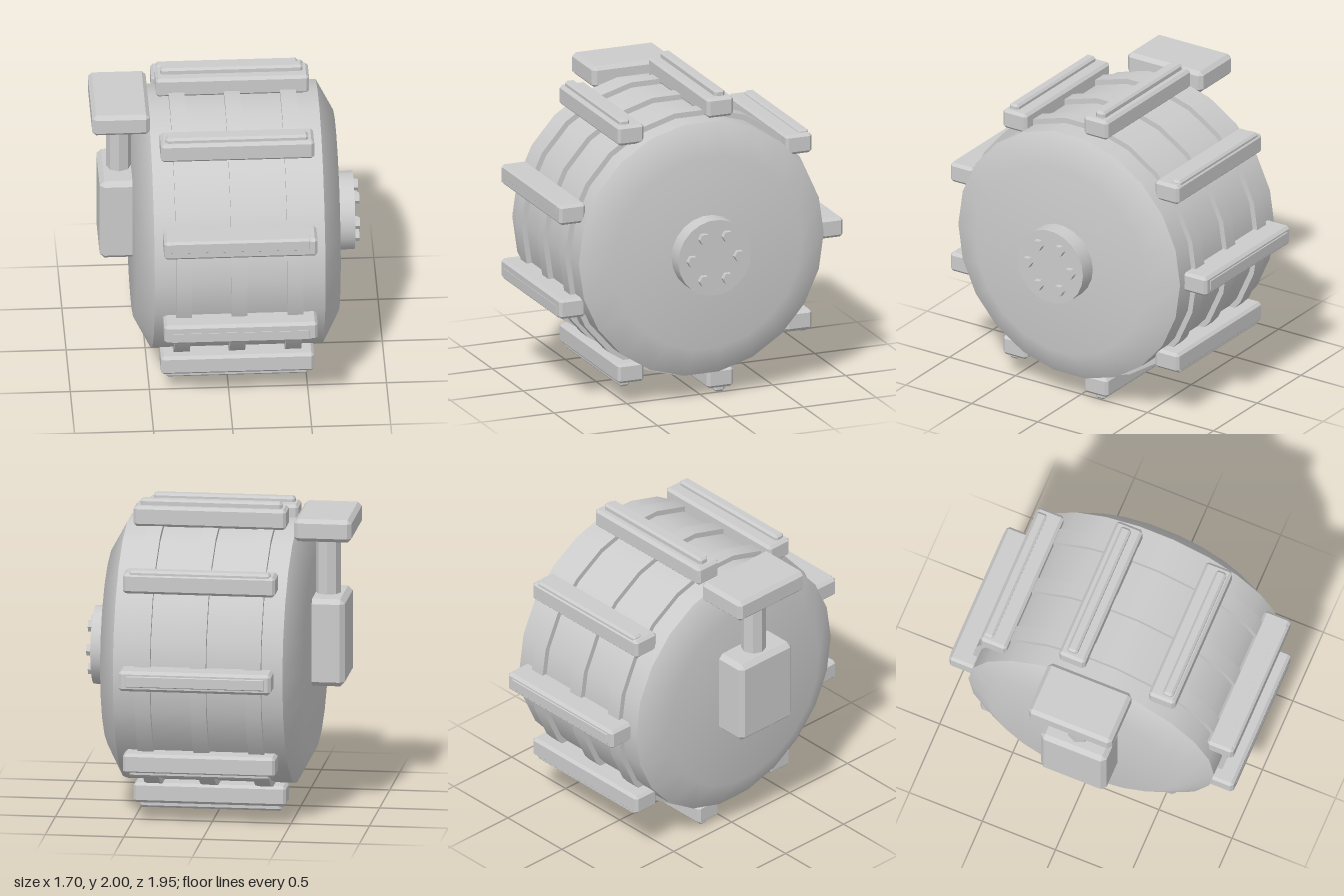
import * as THREE from 'three';
import { ConvexGeometry } from 'three/addons/geometries/ConvexGeometry.js';

const smooth = new THREE.MeshStandardMaterial({ color: 0xcccccc });
const flat = new THREE.MeshStandardMaterial({ color: 0xcccccc, flatShading: true });
const SIDES = 22;
const CY = 1, CZ = 0.03; // axle position

// Box with chamfered edges, as the hull of 24 points
function chamferBox(w, h, d, c) {
  const pts = [];
  for (const sx of [-1, 1]) for (const sy of [-1, 1]) for (const sz of [-1, 1]) {
    const x = w / 2, y = h / 2, z = d / 2;
    pts.push(
      new THREE.Vector3(sx * x, sy * (y - c), sz * (z - c)),
      new THREE.Vector3(sx * (x - c), sy * y, sz * (z - c)),
      new THREE.Vector3(sx * (x - c), sy * (y - c), sz * z));
  }
  return new ConvexGeometry(pts);
}

export function createModel() {
  const root = new THREE.Group();
  root.name = 'treadedWheel';

  function add(name, geometry, material, x, y, z) {
    const mesh = new THREE.Mesh(geometry, material);
    mesh.name = name;
    mesh.position.set(x, y, z);
    root.add(mesh);
    return mesh;
  }

  // Cylinder lying along x, between x0 and x1
  function disc(name, r, x0, x1, sides, open = false, y = CY, z = CZ) {
    const g = new THREE.CylinderGeometry(r, r, x1 - x0, sides, 1, open);
    g.rotateZ(-Math.PI / 2);
    return add(name, g, sides > 8 ? smooth : flat, (x0 + x1) / 2, y, z);
  }

  // Drum with three raised bands
  disc('drum', 0.84, -0.485, 0.595, SIDES, true);
  for (const x of [-0.3, 0.05, 0.405]) disc('band', 0.875, x - 0.05, x + 0.05, SIDES);

  // Sloped end caps, softly shaded into the flat centre
  const profile = [[0.84, 0], [0.64, 0.107], [0, 0.107]].map(p => new THREE.Vector2(...p));
  for (const [name, x, turn] of [['rightCap', -0.485, 1], ['leftCap', 0.595, -1]]) {
    const g = new THREE.LatheGeometry(profile, SIDES);
    g.rotateZ(turn * Math.PI / 2);
    add(name, g, smooth, x, CY, CZ);
  }

  // Hub and its ring of hexagonal bolts
  disc('hub', 0.25, 0.69, 0.815, SIDES);
  for (let i = 0; i < 6; i++) {
    const a = i * Math.PI / 3;
    disc('hubBolt', 0.037, 0.8, 0.848, 6, false, CY + 0.16 * Math.sin(a), CZ + 0.16 * Math.cos(a));
  }

  // Nine upright tread bars, each with a narrow ridge further out
  const bar = chamferBox(0.97, 0.13, 0.18, 0.018);
  const ridge = chamferBox(0.9, 0.09, 0.07, 0.014);
  for (let i = 0; i < 9; i++) {
    const a = Math.PI + i * Math.PI * 2 / 9;
    const c = Math.cos(a), s = Math.sin(a);
    add('treadBar', bar, flat, 0.055, CY + 0.91 * s, CZ + 0.91 * c);
    add('treadRidge', ridge, flat, 0.052, CY + 0.97 * s, CZ + 0.97 * c);
  }

  // Side mount: box, octagonal post and top plate
  add('mountBox', chamferBox(0.24, 0.565, 0.45, 0.03), flat, -0.68, 1.1025, CZ);
  add('mountPost', new THREE.CylinderGeometry(0.08, 0.08, 0.46, 8), flat, -0.67, 1.58, CZ);
  add('mountPlate', chamferBox(0.365, 0.145, 0.57, 0.025), flat, -0.6675, 1.8425, CZ);

  return root;
}
